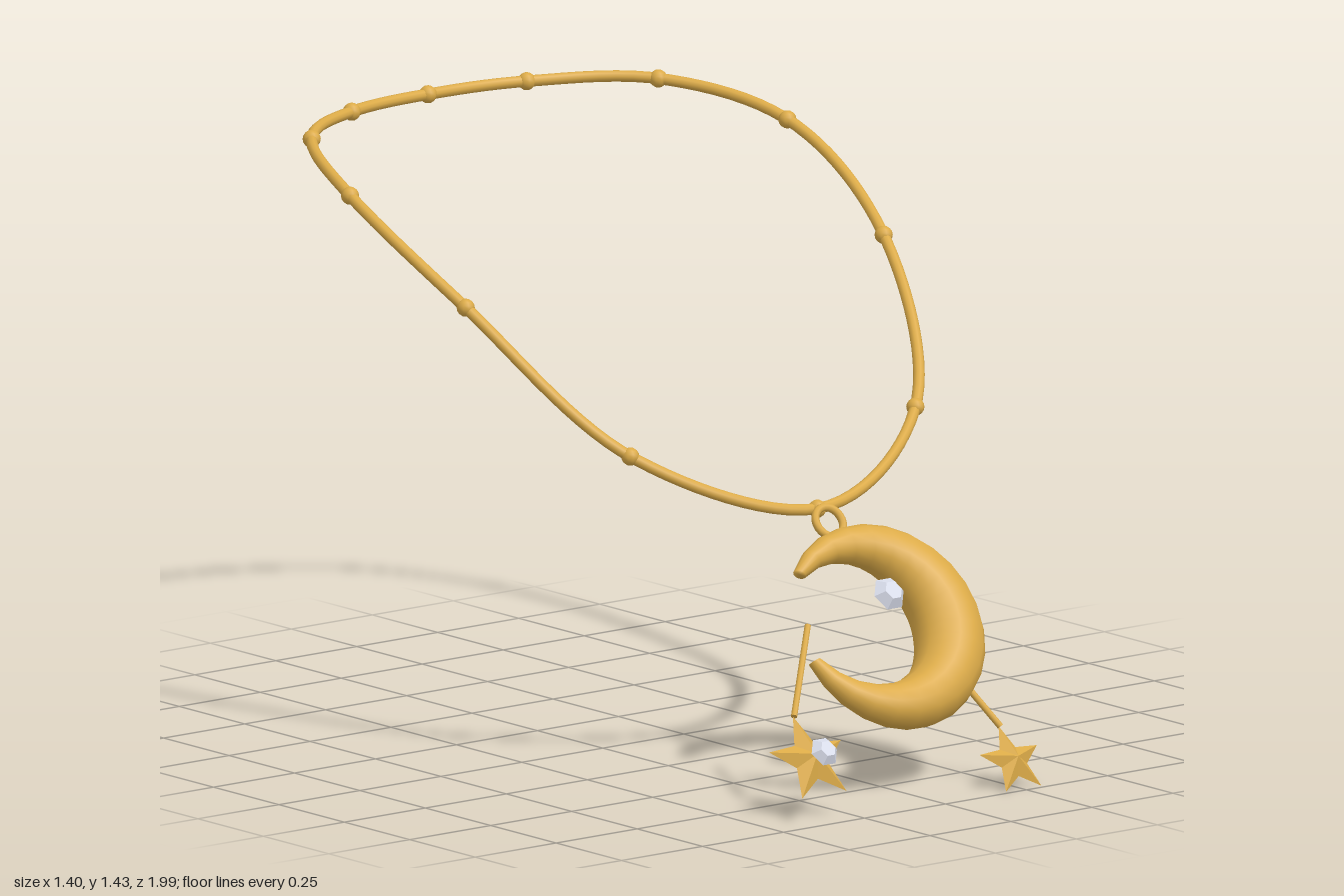
import * as THREE from 'three';

const gold = new THREE.MeshStandardMaterial({ color: 0xdcab48 });
const goldFlat = new THREE.MeshStandardMaterial({ color: 0xdcab48, flatShading: true });
const gemMat = new THREE.MeshStandardMaterial({ color: 0xd8dcea, flatShading: true });

function addMesh(parent, name, geometry, material, x = 0, y = 0, z = 0) {
  const mesh = new THREE.Mesh(geometry, material);
  mesh.name = name;
  mesh.position.set(x, y, z);
  parent.add(mesh);
  return mesh;
}

// Tapered round sections swept along an arc whose outer rim is a true circle
function crescentGeometry(rim, start, end, steps = 22, sides = 14) {
  const positions = [], index = [];
  for (let i = -1; i <= steps + 1; i++) {
    const t = Math.min(Math.max(i / steps, 0), 1);
    const a = THREE.MathUtils.degToRad(start + (end - start) * t);
    const thick = 0.016 + 0.071 * Math.sin(Math.PI * t);
    const r = i < 0 || i > steps ? 0 : thick; // collapsed rings close the tips
    for (let j = 0; j < sides; j++) {
      const b = (j / sides) * Math.PI * 2;
      const d = rim - thick + r * Math.cos(b);
      positions.push(d * Math.cos(a), d * Math.sin(a), r * Math.sin(b));
    }
  }
  for (let i = 0; i < steps + 2; i++) {
    for (let j = 0; j < sides; j++) {
      const k = (j + 1) % sides;
      const p = i * sides + j, q = i * sides + k;
      index.push(p, p + sides, q, q, p + sides, q + sides);
    }
  }
  const g = new THREE.BufferGeometry();
  g.setAttribute('position', new THREE.Float32BufferAttribute(positions, 3));
  g.setIndex(index);
  g.computeVertexNormals();
  return g;
}

// Five-pointed star with a raised centre on both faces
function starGeometry(radius, depth) {
  const corner = (k) => {
    const a = Math.PI / 2 + (k * Math.PI) / 5;
    const r = k % 2 ? radius * 0.44 : radius;
    return [r * Math.cos(a), r * Math.sin(a), 0];
  };
  const positions = [];
  for (let k = 0; k < 10; k++) {
    positions.push(0, 0, depth, ...corner(k), ...corner(k + 1));
    positions.push(0, 0, -depth, ...corner(k + 1), ...corner(k));
  }
  const g = new THREE.BufferGeometry();
  g.setAttribute('position', new THREE.Float32BufferAttribute(positions, 3));
  g.computeVertexNormals();
  return g;
}

// Six-sided cut stone facing +z with a corner on each side
function gemGeometry(r) {
  const profile = [[0, -0.65], [1, 0], [0.55, 0.5], [0, 0.5]];
  return new THREE.LatheGeometry(profile.map(([x, y]) => new THREE.Vector2(x * r, y * r)), 6)
    .rotateY(Math.PI / 2).rotateX(Math.PI / 2);
}

function addRod(parent, name, x1, y1, x2, y2) {
  const dx = x2 - x1, dy = y2 - y1;
  const rod = addMesh(parent, name, new THREE.CylinderGeometry(0.008, 0.008, Math.hypot(dx, dy), 8),
    gold, (x1 + x2) / 2, (y1 + y2) / 2, 0);
  rod.rotation.z = Math.atan2(-dx, dy);
}

export function createModel() {
  const model = new THREE.Group();
  model.name = 'necklace';

  // Chain through mirrored bead positions
  const side = [
    [0.44, 0.81, 0.34], [0.645, 1.14, -0.035], [0.675, 1.35, -0.44],
    [0.535, 1.415, -0.76], [0.27, 1.415, -0.935],
  ].map((p) => new THREE.Vector3(...p));
  const mirrored = side.map((p) => new THREE.Vector3(-p.x, p.y, p.z)).reverse();
  const points = [new THREE.Vector3(0, 0.65, 0.51), ...side, new THREE.Vector3(0, 1.413, -0.978), ...mirrored];
  const path = new THREE.CatmullRomCurve3(points, true);
  addMesh(model, 'chain', new THREE.TubeGeometry(path, 120, 0.014, 10, true), gold);

  const beads = new THREE.Group();
  beads.name = 'beads';
  model.add(beads);
  const beadGeometry = new THREE.SphereGeometry(0.022, 10, 8);
  for (const p of points) addMesh(beads, 'bead', beadGeometry, gold, p.x, p.y, p.z);

  // Pendant leaning forward at its foot, built flat in its own plane
  const pendant = new THREE.Group();
  pendant.name = 'pendant';
  pendant.position.set(0, 0.39, 0.72);
  pendant.rotation.x = -0.61;
  model.add(pendant);

  addMesh(pendant, 'crescent', crescentGeometry(0.267, -167, 138), gold, 0.04, 0, 0);
  addMesh(pendant, 'bail', new THREE.TorusGeometry(0.039, 0.01, 8, 24), gold, 0, 0.287, 0);
  addMesh(pendant, 'crescentGem', gemGeometry(0.045), gemMat, 0.025, 0.054, 0.078);

  // Hanging stars
  addRod(pendant, 'largeStarRod', -0.327, -0.185, -0.182, 0.037);
  addMesh(pendant, 'largeStar', starGeometry(0.116, 0.034), goldFlat, -0.33, -0.3, 0);
  addMesh(pendant, 'starGem', gemGeometry(0.039), gemMat, -0.33, -0.307, 0.06);
  addRod(pendant, 'smallStarRod', 0.257, -0.3, 0.2, -0.17);
  addMesh(pendant, 'smallStar', starGeometry(0.093, 0.028), goldFlat, 0.252, -0.391, 0);

  return model;
}
